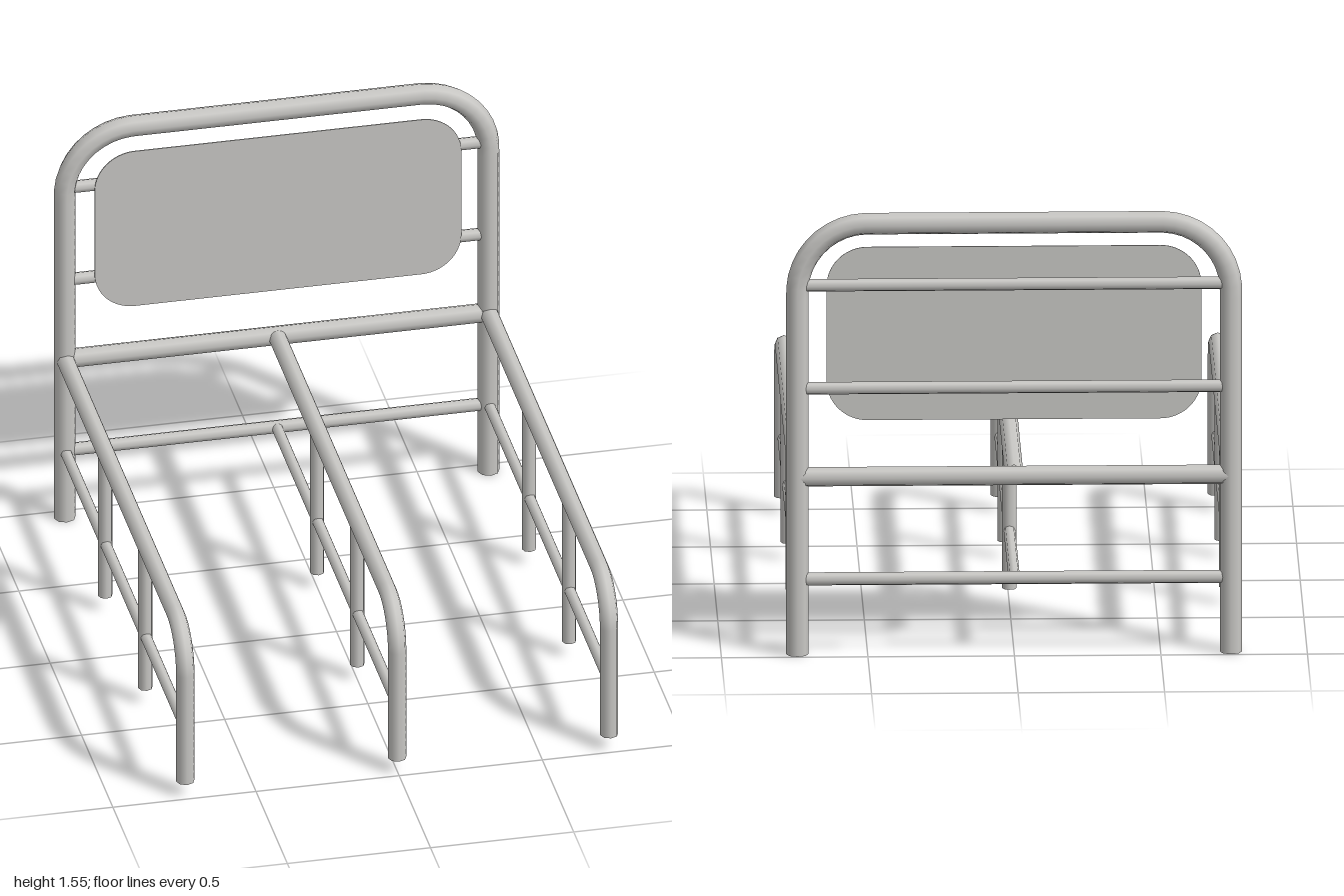
import * as THREE from 'three';

const HEAD_Z = -0.957, RAIL_Y = 0.625, LOW_Y = 0.265;
const V = (x, y, z) => new THREE.Vector3(x, y, z);

// Path through the points with circular-looking bends of the given radius
function bentPath(points, radius) {
  const path = new THREE.CurvePath();
  let from = points[0];
  for (let i = 1; i < points.length - 1; i++) {
    const p = points[i];
    const a = points[i - 1].clone().sub(p).normalize();
    const b = points[i + 1].clone().sub(p).normalize();
    const start = p.clone().addScaledVector(a, radius);
    const end = p.clone().addScaledVector(b, radius);
    const c1 = p.clone().addScaledVector(a, radius * 0.448);
    const c2 = p.clone().addScaledVector(b, radius * 0.448);
    path.add(new THREE.LineCurve3(from, start));
    path.add(new THREE.CubicBezierCurve3(start, c1, c2, end));
    from = end;
  }
  path.add(new THREE.LineCurve3(from, points[points.length - 1]));
  return path;
}

export function createModel() {
  const bed = new THREE.Group();
  bed.name = 'bedFrame';
  const metal = new THREE.MeshStandardMaterial({ color: 0xc9c8c5 });
  metal.name = 'light grey metal';

  const add = (parent, name, geometry) => {
    const mesh = new THREE.Mesh(geometry, metal);
    mesh.name = name;
    parent.add(mesh);
    return mesh;
  };
  // Straight open-ended tube
  const bar = (parent, name, a, b, r) =>
    add(parent, name, new THREE.TubeGeometry(new THREE.LineCurve3(a, b), 1, r, 8));

  // Headboard hoop, open at the feet
  const headboard = new THREE.Group();
  headboard.name = 'headboard';
  bed.add(headboard);
  const hoop = bentPath([V(-0.74, 0, HEAD_Z), V(-0.74, 1.516, HEAD_Z),
    V(0.74, 1.516, HEAD_Z), V(0.74, 0, HEAD_Z)], 0.24);
  add(headboard, 'headboardHoop', new THREE.TubeGeometry(hoop, 110, 0.038, 8));

  // Cross bars between the headboard posts: [name, height, radius]
  for (const [name, y, r] of [
    ['lowerCrossBar', LOW_Y, 0.023], ['mainCrossBar', RAIL_Y, 0.034],
    ['lowerPanelBar', 0.937, 0.022], ['upperPanelBar', 1.3, 0.022],
  ]) bar(headboard, name, V(-0.73, y, HEAD_Z), V(0.73, y, HEAD_Z), r);

  // Rounded thin panel in front of its two bars
  const w = 0.64, h = 0.305, c = 0.14;
  const outline = new THREE.Shape();
  outline.absarc(w - c, h - c, c, 0, Math.PI / 2);
  outline.absarc(c - w, h - c, c, Math.PI / 2, Math.PI);
  outline.absarc(c - w, c - h, c, Math.PI, Math.PI * 1.5);
  outline.absarc(w - c, c - h, c, Math.PI * 1.5, Math.PI * 2);
  const panel = add(headboard, 'headboardPanel',
    new THREE.ExtrudeGeometry(outline, { depth: 0.004, bevelEnabled: false, curveSegments: 10 }));
  panel.position.set(0, 1.123, HEAD_Z + 0.021);

  // Three identical rails: right, centre and left
  for (const [side, x] of [['right', -0.74], ['centre', 0], ['left', 0.74]]) {
    const rail = new THREE.Group();
    rail.name = side + 'Rail';
    rail.position.x = x;
    bed.add(rail);
    const path = bentPath([V(0, RAIL_Y, HEAD_Z + 0.02), V(0, RAIL_Y, 0.968), V(0, 0.055, 0.968)], 0.15);
    add(rail, 'topRailAndFrontLeg', new THREE.TubeGeometry(path, 80, 0.032, 8));
    bar(rail, 'lowerRail', V(0, LOW_Y, HEAD_Z + 0.01), V(0, LOW_Y, 0.955), 0.02);
    for (const z of [0.33, -0.31])
      bar(rail, 'middleLeg', V(0, 0.06, z), V(0, RAIL_Y - 0.01, z), 0.025);
  }
  return bed;
}
